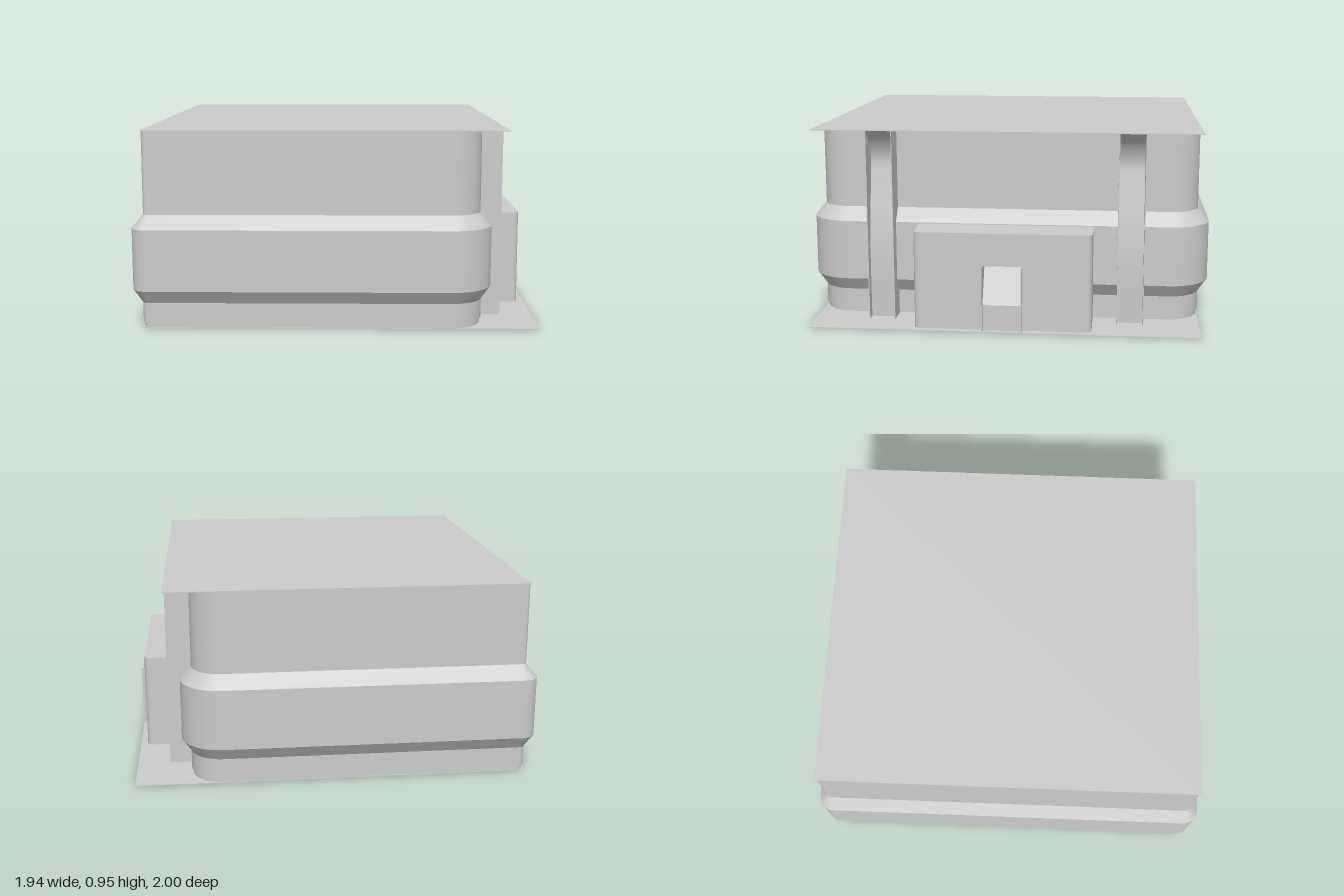
import * as THREE from 'three';
import { toCreasedNormals } from 'three/addons/utils/BufferGeometryUtils.js';

const material = new THREE.MeshStandardMaterial({ color: 0xcccccc, side: THREE.DoubleSide });

function add(parent, name, geometry, x = 0, y = 0, z = 0) {
  const mesh = new THREE.Mesh(geometry, material);
  mesh.name = name;
  mesh.position.set(x, y, z);
  parent.add(mesh);
  return mesh;
}

// Surface through cross-sections of equal point count
function loft(rings, crease = 0.4) {
  const position = [], index = [], n = rings[0].length;
  rings.forEach((ring) => ring.forEach((p) => position.push(...p)));
  for (let r = 0; r < rings.length - 1; r++) {
    for (let i = 0; i < n - 1; i++) {
      const a = r * n + i, b = a + 1, c = a + n, d = c + 1;
      index.push(a, c, b, b, c, d);
    }
  }
  const geometry = new THREE.BufferGeometry();
  geometry.setAttribute('position', new THREE.Float32BufferAttribute(position, 3));
  geometry.setIndex(index);
  return toCreasedNormals(geometry, crease);
}

// Rounded plan outline pushed out by d: tight corners on the left side, wide ones on the right
function bodyRing(y, d) {
  const points = [];
  const corners = [[0.69, 0.945, 0.145], [-0.92, 0.945, 0.02], [-0.92, -0.945, 0.02], [0.69, -0.945, 0.145]];
  corners.forEach(([x, z, r], k) => {
    const cx = x - Math.sign(x) * r, cz = z - Math.sign(z) * r;
    for (let i = 0; i <= 12; i++) {
      const a = (k + i / 12) * Math.PI / 2;
      points.push([cx + Math.cos(a) * (r + d), y, cz + Math.sin(a) * (r + d)]);
    }
  });
  points.push([...points[0]]);
  return points;
}

// Plan of the annex with rounded outer corners, optionally notched for the doorway
function annexShape(notched) {
  const x0 = 0.68, x1 = 0.935, w = 0.43, r = 0.035, door = 0.095;
  const s = new THREE.Shape();
  s.moveTo(x0, -w);
  s.lineTo(x1 - r, -w);
  s.quadraticCurveTo(x1, -w, x1, -w + r);
  if (notched) {
    s.lineTo(x1, -door);
    s.lineTo(0.85, -door);
    s.lineTo(0.85, door);
    s.lineTo(x1, door);
  }
  s.lineTo(x1, w - r);
  s.quadraticCurveTo(x1, w, x1 - r, w);
  s.lineTo(x0, w);
  s.closePath();
  return s;
}

function annexBlock(notched, height) {
  const g = new THREE.ExtrudeGeometry(annexShape(notched), { depth: height, bevelEnabled: false, curveSegments: 8 });
  g.rotateX(-Math.PI / 2);
  return toCreasedNormals(g, 0.5);
}

export function createModel() {
  const model = new THREE.Group();
  model.name = 'building';

  // Walls with a bulging belt
  const profile = [[0, 0.002], [0.03, 0.002], [0.03, 0.01], [0.125, 0.01], [0.19, 0.055],
    [0.485, 0.055], [0.55, 0], [0.95, 0]];
  add(model, 'walls', loft(profile.map(([y, d]) => bodyRing(y, d))));

  // Thin roof and ground sheets
  add(model, 'roof', new THREE.BoxGeometry(1.73, 0.004, 1.9), -0.055, 0.948, 0);
  add(model, 'basePlate', new THREE.BoxGeometry(1.9, 0.004, 1.9), 0.02, 0.002, 0);

  // Paired fins, each pair holding a curved channel
  const channelCurve = new THREE.CatmullRomCurve3([
    [0.81, 0.948], [0.745, 0.89], [0.705, 0.8], [0.715, 0.7], [0.75, 0.5], [0.765, 0.35], [0.765, 0],
  ].map(([x, y]) => new THREE.Vector3(x, y, 0)));
  const channelPoints = channelCurve.getPoints(36);
  for (const side of [1, -1]) {
    const buttress = new THREE.Group();
    buttress.name = side > 0 ? 'frontButtress' : 'backButtress';
    for (const z of [0.55, 0.677]) {
      add(buttress, 'fin', new THREE.BoxGeometry(0.14, 0.948, 0.004), 0.74, 0.474, side * z);
    }
    const edges = [0.55, 0.677].map((z) => z * side).sort((a, b) => a - b);
    const strip = channelPoints.map((p) => edges.map((z) => [p.x, p.y, z]));
    add(buttress, 'channel', loft(strip.reverse(), 0.6));
    model.add(buttress);
  }

  // Annex with a doorway
  const annex = new THREE.Group();
  annex.name = 'annex';
  add(annex, 'annexLower', annexBlock(true, 0.32));
  add(annex, 'annexUpper', annexBlock(false, 0.16), 0, 0.32, 0);
  for (const z of [-0.095, 0.095]) {
    add(annex, 'doorJamb', new THREE.BoxGeometry(0.12, 0.32, 0.004), 0.91, 0.16, z);
  }
  // Sloping chute inside the doorway
  const chute = [[0.945, 0], [0.945, 0.13], [0.852, 0.32]];
  add(annex, 'chute', loft(chute.map(([x, y]) => [[x, y, 0.095], [x, y, -0.095]]), 0.2));
  model.add(annex);

  return model;
}
